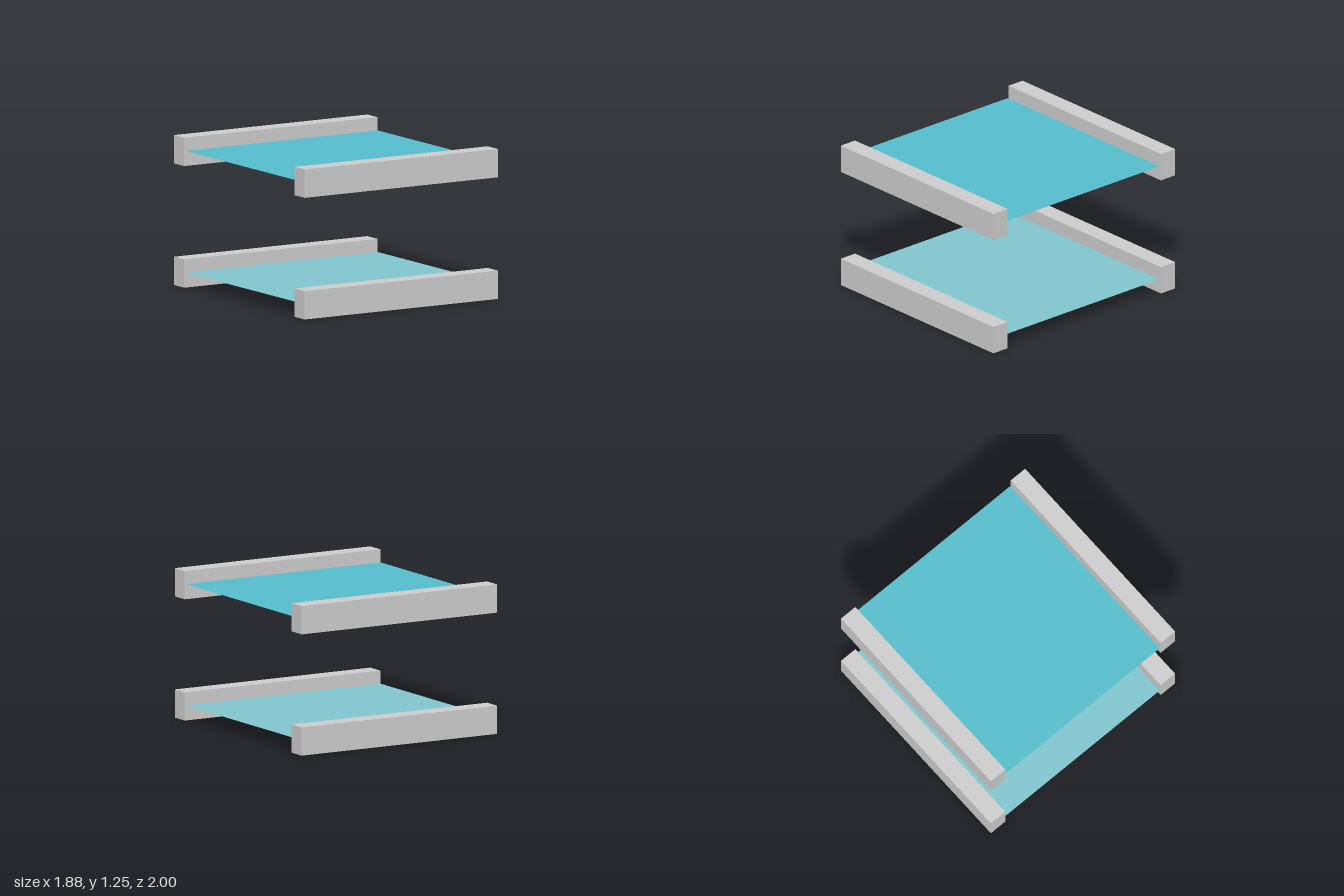
import * as THREE from 'three';

const WIDTH = 1.88, BAR_HEIGHT = 0.236, BAR_DEPTH = 0.156, SHEET_DEPTH = 1.666;

export function createModel() {
  const model = new THREE.Group();
  const barMaterial = new THREE.MeshStandardMaterial({ color: 0xcccccc });
  const barGeometry = new THREE.BoxGeometry(WIDTH, BAR_HEIGHT, BAR_DEPTH);
  const sheetGeometry = new THREE.PlaneGeometry(WIDTH - 0.005, SHEET_DEPTH).rotateX(-Math.PI / 2);

  // One tier: a thin sheet between a front and a back bar
  function addTier(name, y, color) {
    const tier = new THREE.Group();
    tier.name = name;
    tier.position.y = y;
    for (const side of [1, -1]) {
      const bar = new THREE.Mesh(barGeometry, barMaterial);
      bar.name = side > 0 ? 'frontBar' : 'backBar';
      bar.position.set(0, BAR_HEIGHT / 2, side * (1 - BAR_DEPTH / 2));
      tier.add(bar);
    }
    const sheet = new THREE.Mesh(
      sheetGeometry,
      new THREE.MeshStandardMaterial({ color, side: THREE.DoubleSide })
    );
    sheet.name = 'sheet';
    sheet.position.set(-0.002, 0.128, 0);
    tier.add(sheet);
    model.add(tier);
  }

  addTier('lowerTier', 0, 0x80c4cd);
  addTier('upperTier', 1.013, 0x55bccb);
  return model;
}
